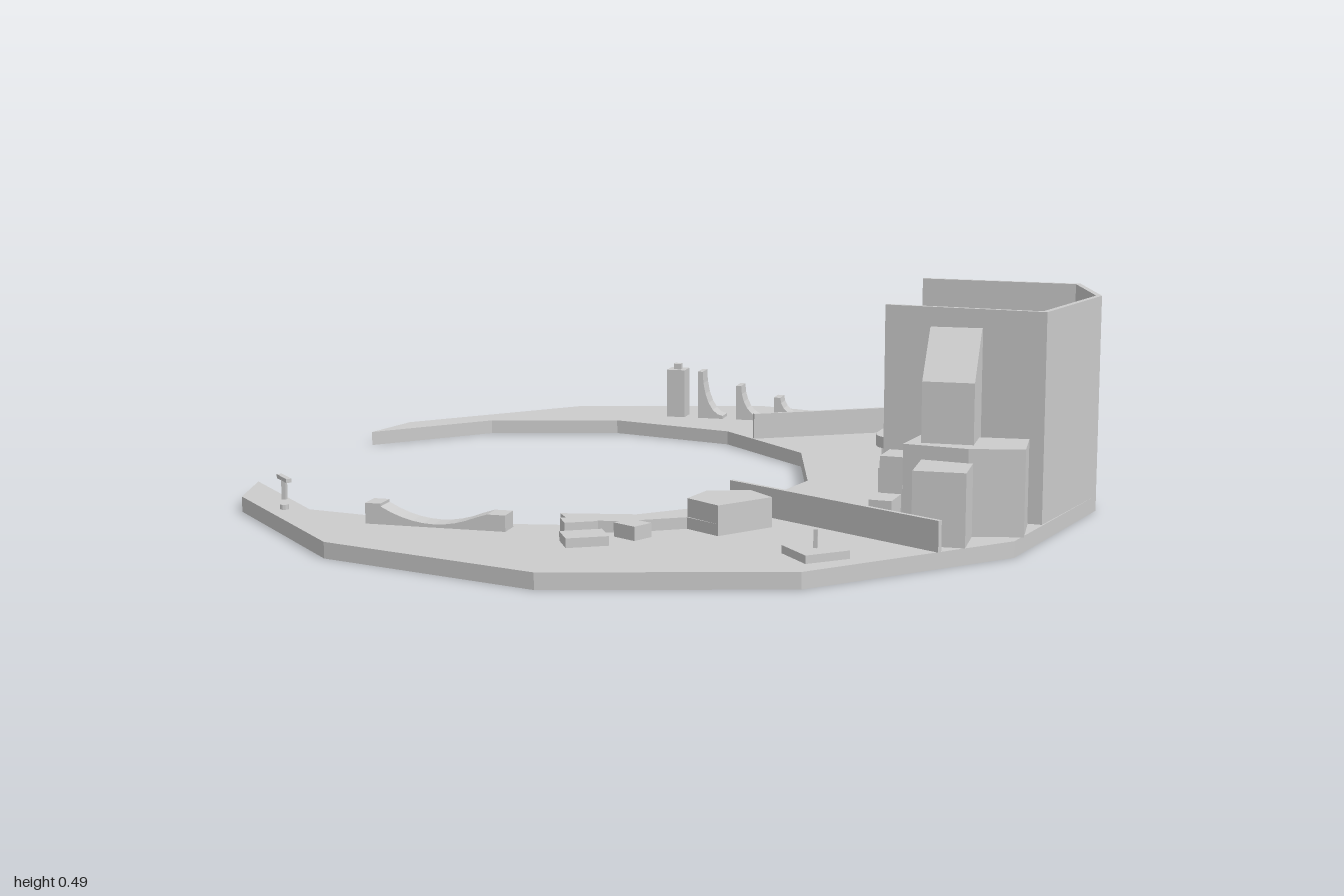
import * as THREE from 'three';

const material = new THREE.MeshStandardMaterial({ color: 0xcccccc, flatShading: true });
const FLOOR = 0.035;

function add(parent, name, geometry) {
  const mesh = new THREE.Mesh(geometry, material);
  mesh.name = name;
  parent.add(mesh);
  return mesh;
}

const toShape = (pts) => new THREE.Shape(pts.map(([a, b]) => new THREE.Vector2(a, b)));
const extrude = (shape, depth) =>
  new THREE.ExtrudeGeometry(shape, { depth, bevelEnabled: false, curveSegments: 6 });

// Vertical prism over a plan outline of [x, z] points
function prism(parent, name, pts, y0, y1) {
  const g = extrude(toShape(pts.map(([x, z]) => [x, -z])), y1 - y0);
  g.rotateX(-Math.PI / 2).translate(0, y0, 0);
  return add(parent, name, g);
}

// Box standing at height y0, turned about y
function block(parent, name, x, z, w, d, y0, y1, turn = 0) {
  const mesh = add(parent, name, new THREE.BoxGeometry(w, y1 - y0, d));
  mesh.position.set(x, (y0 + y1) / 2, z);
  mesh.rotation.y = turn;
  return mesh;
}

// Thin straight fence between two plan points
function fence(parent, name, [x1, z1], [x2, z2], y1, t = 0.01) {
  const len = Math.hypot(x2 - x1, z2 - z1);
  block(parent, name, (x1 + x2) / 2, (z1 + z2) / 2, len, t, FLOOR, y1, -Math.atan2(z2 - z1, x2 - x1));
}

// [x, y] side profile with thickness along z
function profileX(parent, name, pts, z, depth) {
  return add(parent, name, extrude(toShape(pts), depth).translate(0, 0, z - depth / 2));
}

// [z, y] side profile with thickness along x
function profileZ(parent, name, pts, x, width) {
  const g = extrude(toShape(pts), width).translate(0, 0, -width / 2);
  g.rotateY(-Math.PI / 2).translate(x, 0, 0);
  return add(parent, name, g);
}

// Concave quarter ramp, tall at its left side
function quarterPipe(parent, name, x, z, w, h, depth) {
  const pts = [[x, FLOOR], [x + w, FLOOR], [x + w, FLOOR + 0.008]];
  for (let i = 0; i <= 6; i++) {
    const a = (i / 6) * Math.PI / 2;
    pts.push([x + w - (w * 0.8) * Math.sin(a), h - (h - FLOOR - 0.008) * Math.cos(a)]);
  }
  pts.push([x, h]);
  profileX(parent, name, pts, z, depth);
}

// Rounded rectangle path centred on the origin
function roundedPath(Type, w, h, r) {
  const p = new Type();
  const a = w / 2, b = h / 2;
  p.moveTo(-a + r, -b);
  p.lineTo(a - r, -b); p.quadraticCurveTo(a, -b, a, -b + r);
  p.lineTo(a, b - r); p.quadraticCurveTo(a, b, a - r, b);
  p.lineTo(-a + r, b); p.quadraticCurveTo(-a, b, -a, b - r);
  p.lineTo(-a, -b + r); p.quadraticCurveTo(-a, -b, -a + r, -b);
  return p;
}

// Flat looping counter
function loopCounter(parent, name, x, z, w, d, band, r, y0, y1, turn) {
  const s = roundedPath(THREE.Shape, w, d, r);
  s.holes.push(roundedPath(THREE.Path, w - 2 * band, d - 2 * band, r * 0.6));
  const mesh = add(parent, name, extrude(s, y1 - y0).rotateX(-Math.PI / 2));
  mesh.position.set(x, y0, z);
  mesh.rotation.y = turn;
}

export function createModel() {
  const model = new THREE.Group();
  const group = (name) => {
    const g = new THREE.Group();
    g.name = name;
    model.add(g);
    return g;
  };

  // Crescent ground slab
  prism(model, 'crescentBase', [
    [-0.955, -0.335], [-0.915, -0.5], [-0.55, -0.865], [-0.05, -1], [0.45, -0.865], [0.82, -0.5],
    [0.95, 0], [0.82, 0.5], [0.45, 0.865], [-0.05, 1], [-0.55, 0.865], [-0.915, 0.5], [-0.955, 0.335],
    [-0.71, 0.585], [-0.38, 0.637], [-0.05, 0.577], [0.2, 0.335], [0.285, 0], [0.2, -0.335],
    [-0.05, -0.583], [-0.38, -0.67], [-0.71, -0.583],
  ], 0, FLOOR);

  // Dividing fences
  fence(model, 'backFence', [0.04, -0.5], [0.535, -0.785], 0.1);
  fence(model, 'frontFence', [0.185, 0.345], [0.685, 0.635], 0.1);

  // Hall walls, open toward the inner side
  const hall = group('hall');
  prism(hall, 'hallWall', [
    [0.51, -0.27], [0.885, -0.237], [0.95, 0], [0.86, 0.333], [0.51, 0.285],
    [0.51, 0.273], [0.85, 0.319], [0.937, 0], [0.875, -0.225], [0.51, -0.258],
  ], FLOOR, 0.49);
  block(hall, 'hallFloor', 0.695, 0.03, 0.36, 0.5, FLOOR, 0.04, -0.1);

  // Counters on posts, with stools and tables
  loopCounter(hall, 'outerCounter', 0.685, 0.03, 0.37, 0.51, 0.035, 0.07, 0.17, 0.195, -0.1);
  loopCounter(hall, 'innerCounter', 0.7, 0.04, 0.24, 0.37, 0.03, 0.06, 0.12, 0.14, -0.1);
  for (const [x, z] of [[0.545, -0.16], [0.86, -0.12], [0.51, 0.22], [0.82, 0.25]])
    block(hall, 'counterPost', x, z, 0.025, 0.025, FLOOR, 0.175);
  for (const [x, z] of [[0.6, -0.07], [0.815, -0.05], [0.575, 0.15], [0.79, 0.17]])
    block(hall, 'counterPost', x, z, 0.02, 0.02, FLOOR, 0.125);
  for (const [x, z] of [[0.52, -0.1], [0.59, -0.1], [0.51, 0.01], [0.67, 0.025], [0.835, 0.04],
    [0.51, 0.155], [0.585, 0.16], [0.66, 0.155], [0.815, 0.18]])
    block(hall, 'stool', x, z, 0.05, 0.06, FLOOR, 0.11, -0.1);

  // Front cluster of buildings
  const front = group('frontBuildings');
  profileZ(front, 'frontTower',
    [[0.32, FLOOR], [0.44, FLOOR], [0.44, 0.35], [0.335, 0.45], [0.32, 0.45]], 0.67, 0.11);
  block(front, 'frontHouse', 0.675, 0.515, 0.11, 0.15, FLOOR, 0.19);
  prism(front, 'frontStore', [[0.6, 0.35], [0.83, 0.34], [0.835, 0.46], [0.72, 0.485], [0.58, 0.46]], FLOOR, 0.22);
  block(front, 'frontShed', 0.55, 0.36, 0.05, 0.08, FLOOR, 0.18, -0.1);
  block(front, 'frontShed', 0.54, 0.435, 0.05, 0.08, FLOOR, 0.1, -0.1);

  // Back cluster of buildings
  const back = group('backBuildings');
  const tower = profileZ(back, 'backTower',
    [[-0.275, FLOOR], [-0.275, 0.4], [-0.385, 0.3], [-0.385, FLOOR]], 0.575, 0.1);
  const roof = block(back, 'backTowerRoof', 0.555, -0.33, 0.15, 0.155, 0.35, 0.36);
  roof.rotation.x = -0.74;
  tower.castShadow = true;
  block(back, 'backHouse', 0.675, -0.475, 0.11, 0.15, FLOOR, 0.19);
  prism(back, 'backStore', [[0.62, -0.5], [0.72, -0.47], [0.84, -0.43], [0.8, -0.29], [0.58, -0.3], [0.56, -0.45]],
    FLOOR, 0.22);
  const attic = profileZ(back, 'backAttic',
    [[-0.035, 0.18], [0.035, 0.18], [0.035, 0.22], [0.005, 0.285], [-0.035, 0.24]], 0, 0.065);
  attic.position.set(0.67, 0, -0.43);
  attic.rotation.y = 0.2;
  block(back, 'backShed', 0.54, -0.41, 0.07, 0.06, FLOOR, 0.16, 0.2);

  // Row of ramps on the back arm
  const ramps = group('rampRow');
  block(ramps, 'rampTower', -0.24, -0.79, 0.05, 0.05, FLOOR, 0.165);
  block(ramps, 'rampTowerCap', -0.24, -0.79, 0.02, 0.02, 0.165, 0.18);
  [[-0.178, 0.07, 0.163], [-0.07, 0.07, 0.128], [0.035, 0.09, 0.1]].forEach(([x, w, h]) =>
    quarterPipe(ramps, 'quarterPipe', x, -0.79, w, h, 0.05));

  // Half pipe by the inner edge
  const curve = [[-0.535, FLOOR], [-0.22, FLOOR], [-0.22, 0.07], [-0.26, 0.07]];
  for (let i = 1; i <= 10; i++) {
    const t = i / 10;
    curve.push([-0.26 - 0.24 * t, 0.042 + 0.032 * Math.pow(2 * t - 1, 2)]);
  }
  curve.push([-0.5, 0.08], [-0.535, 0.08]);
  profileX(model, 'halfPipe', curve, 0.66, 0.05);

  // Bent bank ramp with low boxes
  const bank = group('bankRamp');
  prism(bank, 'bankDeck', [[-0.13, 0.59], [-0.05, 0.575], [0.03, 0.56], [0.13, 0.47], [0.25, 0.44],
    [0.31, 0.5], [0.22, 0.61], [0.14, 0.56], [0.02, 0.63], [-0.09, 0.65]], FLOOR, 0.06);
  prism(bank, 'bankTop', [[0.16, 0.47], [0.25, 0.44], [0.31, 0.5], [0.22, 0.61], [0.14, 0.555]], 0.06, 0.1);
  block(bank, 'lowBox', 0.05, 0.66, 0.06, 0.05, FLOOR, 0.065, -0.5);
  block(bank, 'lowBox', -0.06, 0.68, 0.07, 0.05, FLOOR, 0.07, 0.5);
  block(bank, 'lowBox', -0.03, 0.74, 0.09, 0.07, FLOOR, 0.055, 0.5);

  // Square pad with a pin
  block(model, 'pad', 0.45, 0.73, 0.1, 0.1, FLOOR, 0.052, 0.7);
  block(model, 'padPin', 0.45, 0.73, 0.008, 0.008, 0.052, 0.09);

  // Signpost and small marker at the front tip
  block(model, 'signPost', -0.81, 0.5, 0.01, 0.01, FLOOR, 0.08);
  block(model, 'signBar', -0.81, 0.5, 0.065, 0.012, 0.078, 0.087, -0.8);
  add(model, 'marker', new THREE.CylinderGeometry(0.01, 0.01, 0.012, 10)).position.set(-0.765, 0.04, 0.595);

  return model;
}
